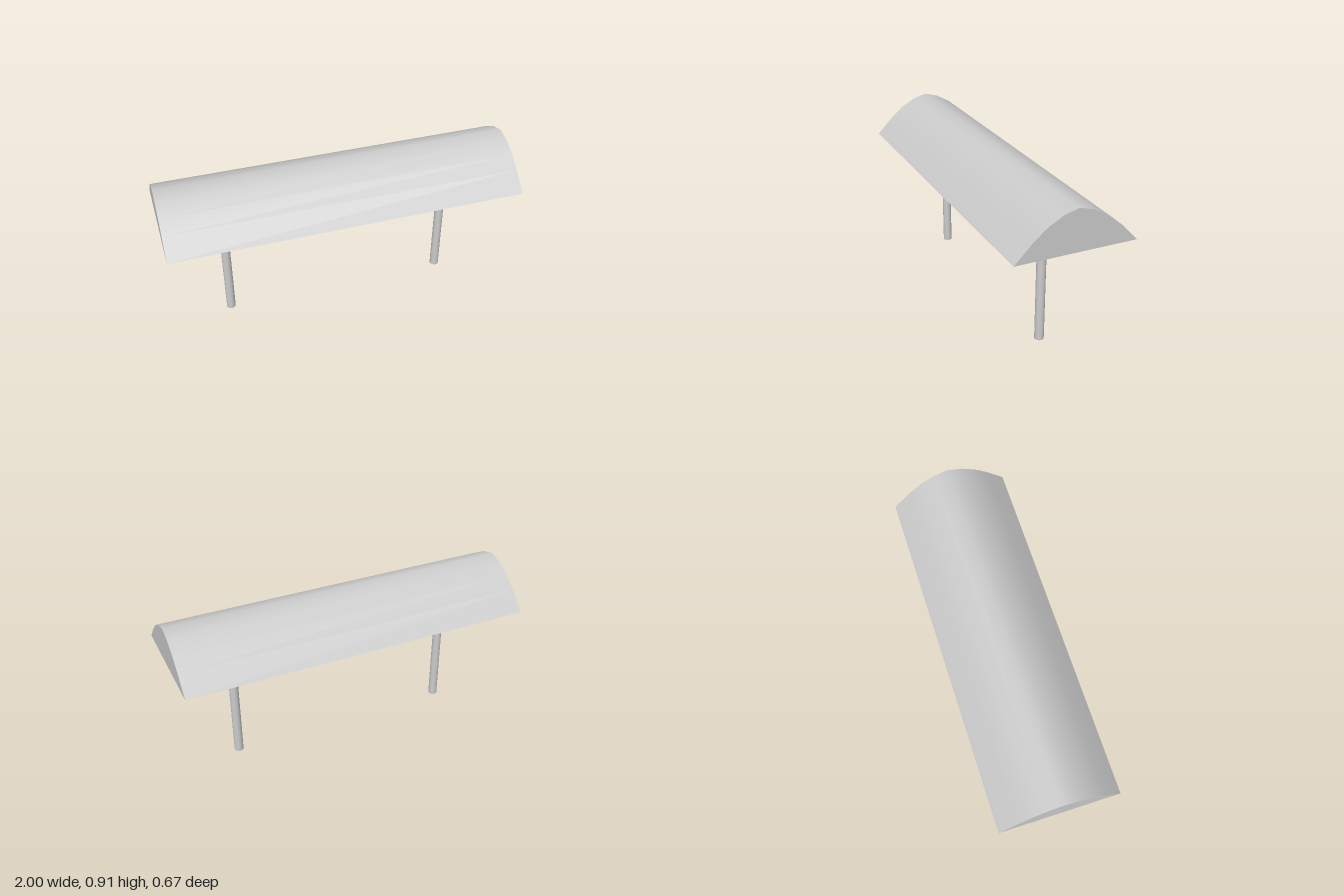
import * as THREE from 'three';
import { toCreasedNormals } from 'three/addons/utils/BufferGeometryUtils.js';

const LENGTH = 2;
const EAVE_Y = 0.683;
const POST_X = 0.655;
const POST_RADIUS = 0.026;

export function createModel() {
  const group = new THREE.Group();
  const material = new THREE.MeshStandardMaterial({ color: 0xcccccc });

  // Canopy: solid arched section, extruded along x
  const half = [[0.333, EAVE_Y], [0.237, 0.782], [0.165, 0.843], [0.082, 0.89]];
  const mirrored = half.map(([z, y]) => [-z, y]).reverse();
  const section = [...half, [0, 0.913], ...mirrored].map(([z, y]) => new THREE.Vector2(z, y));
  const extruded = new THREE.ExtrudeGeometry(new THREE.Shape(section), { depth: LENGTH, bevelEnabled: false });
  extruded.translate(0, 0, -LENGTH / 2).rotateY(Math.PI / 2);
  const canopy = new THREE.Mesh(toCreasedNormals(extruded, 0.8), material);
  canopy.name = 'canopy';
  group.add(canopy);

  // Two round posts under the canopy
  const postGeometry = new THREE.CylinderGeometry(POST_RADIUS, POST_RADIUS, EAVE_Y, 16);
  for (const [name, side] of [['leftPost', 1], ['rightPost', -1]]) {
    const post = new THREE.Mesh(postGeometry, material);
    post.name = name;
    post.position.set(side * POST_X, EAVE_Y / 2, 0);
    group.add(post);
  }

  return group;
}
